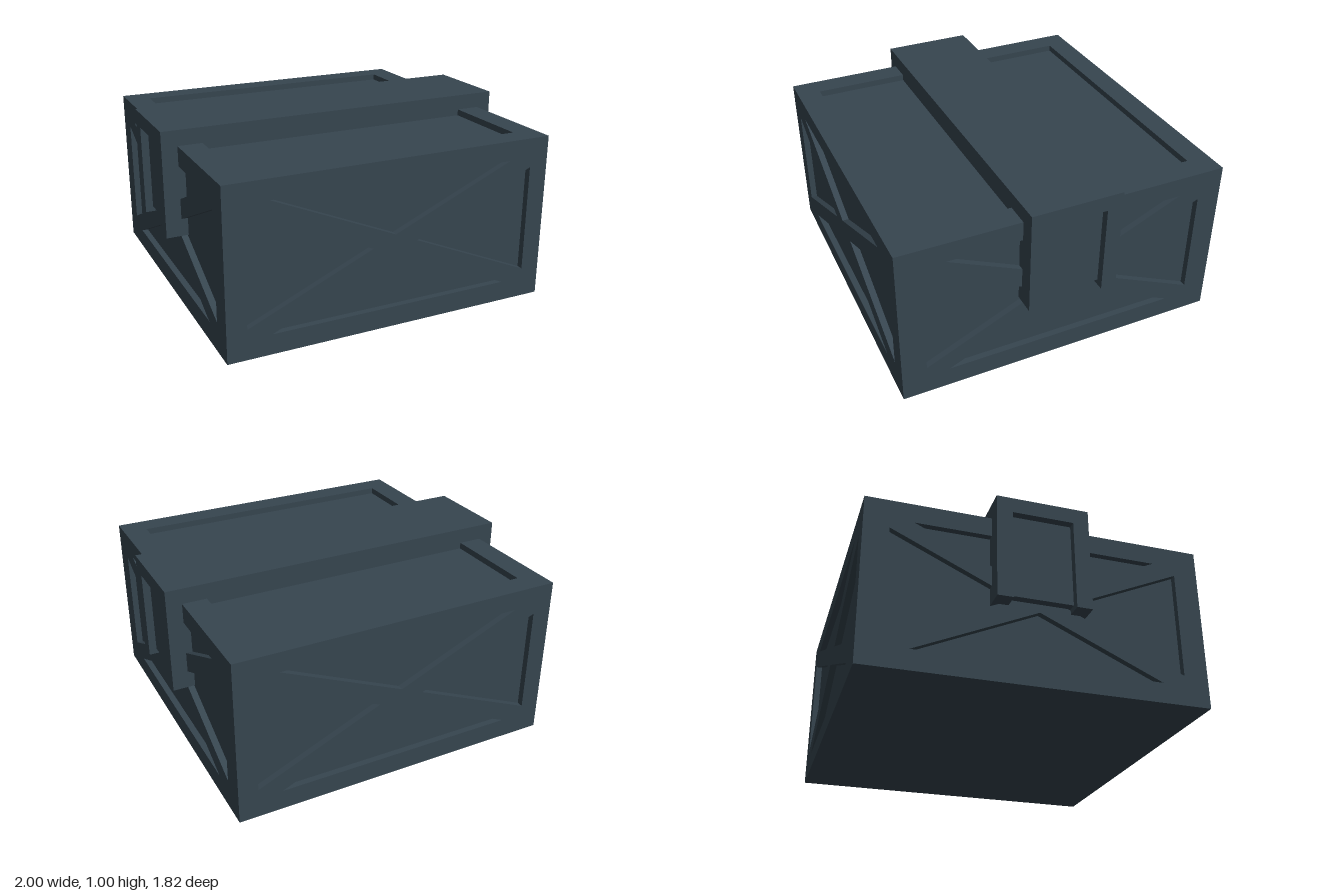
import * as THREE from 'three';

export function createModel() {
  const model = new THREE.Group();
  const slate = new THREE.MeshStandardMaterial({ color: 0x36454f });
  slate.name = 'slate';

  const W = 0.915, D = 0.908, H = 0.915; // half width, half depth, height
  const T = 0.035; // depth of the recesses

  const add = (parent, name, geometry) => {
    const mesh = new THREE.Mesh(geometry, slate);
    mesh.name = name;
    parent.add(mesh);
    return mesh;
  };
  const box = (parent, name, x0, x1, y0, y1, z0, z1) => {
    const mesh = add(parent, name, new THREE.BoxGeometry(x1 - x0, y1 - y0, z1 - z0));
    mesh.position.set((x0 + x1) / 2, (y0 + y1) / 2, (z0 + z1) / 2);
  };
  const polygon = (Type, points) => new Type(points.map(([x, y]) => new THREE.Vector2(x, y)));
  const rectangle = (Type, x, y0, y1) => polygon(Type, [[-x, y0], [x, y0], [x, y1], [-x, y1]]);
  const plate = (shape) => new THREE.ExtrudeGeometry(shape, { depth: T, bevelEnabled: false });

  // Solid body behind the frames
  box(model, 'crateBody', -W + T, W - T, 0, H - T, -D + T, D - T);

  // Cross-braced frame: a plate with four triangular openings
  const bracedFrame = (half, inner, side) => {
    const shape = rectangle(THREE.Shape, half, 0, H - T);
    shape.holes.push(
      polygon(THREE.Path, [[-inner, 0.808], [inner, 0.808], [0, 0.515]]),
      polygon(THREE.Path, [[-inner, 0.11], [0, 0.405], [inner, 0.11]]),
      polygon(THREE.Path, [[-side, 0.755], [-0.127, 0.46], [-side, 0.165]]),
      polygon(THREE.Path, [[side, 0.755], [side, 0.165], [0.127, 0.46]])
    );
    return plate(shape);
  };
  const frontFrame = bracedFrame(W, 0.678, 0.808);
  const sideFrame = bracedFrame(D - T, 0.652, 0.775);
  ['frontFrame', 'leftFrame', 'backFrame', 'rightFrame'].forEach((name, i) => {
    const isSide = i % 2 === 1;
    const pivot = new THREE.Group();
    pivot.rotation.y = i * Math.PI / 2;
    add(pivot, name, isSide ? sideFrame : frontFrame).position.z = (isSide ? W : D) - T;
    model.add(pivot);
  });

  // Lid rim around a shallow recess
  const rim = rectangle(THREE.Shape, W, -D, D);
  rim.holes.push(rectangle(THREE.Path, 0.782, -0.778, 0.778));
  const lid = add(model, 'lidRim', plate(rim));
  lid.rotation.x = -Math.PI / 2;
  lid.position.y = H - T;

  // Strap over the lid, with two legs and an inset panel at each end
  const strap = new THREE.Group();
  strap.name = 'strap';
  model.add(strap);
  box(strap, 'strapBeam', -1, 1, H, 1, -0.25, 0.25);
  box(strap, 'strapCore', -W + T, W - T, H - T, H, -0.25, 0.25);
  for (const s of [-1, 1]) {
    const end = new THREE.Group();
    end.name = s > 0 ? 'leftStrapEnd' : 'rightStrapEnd';
    end.rotation.y = s > 0 ? 0 : Math.PI;
    strap.add(end);
    box(end, 'frontLeg', W - T, 1, 0.42, H, 0.165, 0.25);
    box(end, 'backLeg', W - T, 1, 0.42, H, -0.25, -0.165);
    box(end, 'insetPanel', W - T, 0.958, 0.45, H, -0.165, 0.165);
  }
  return model;
}
